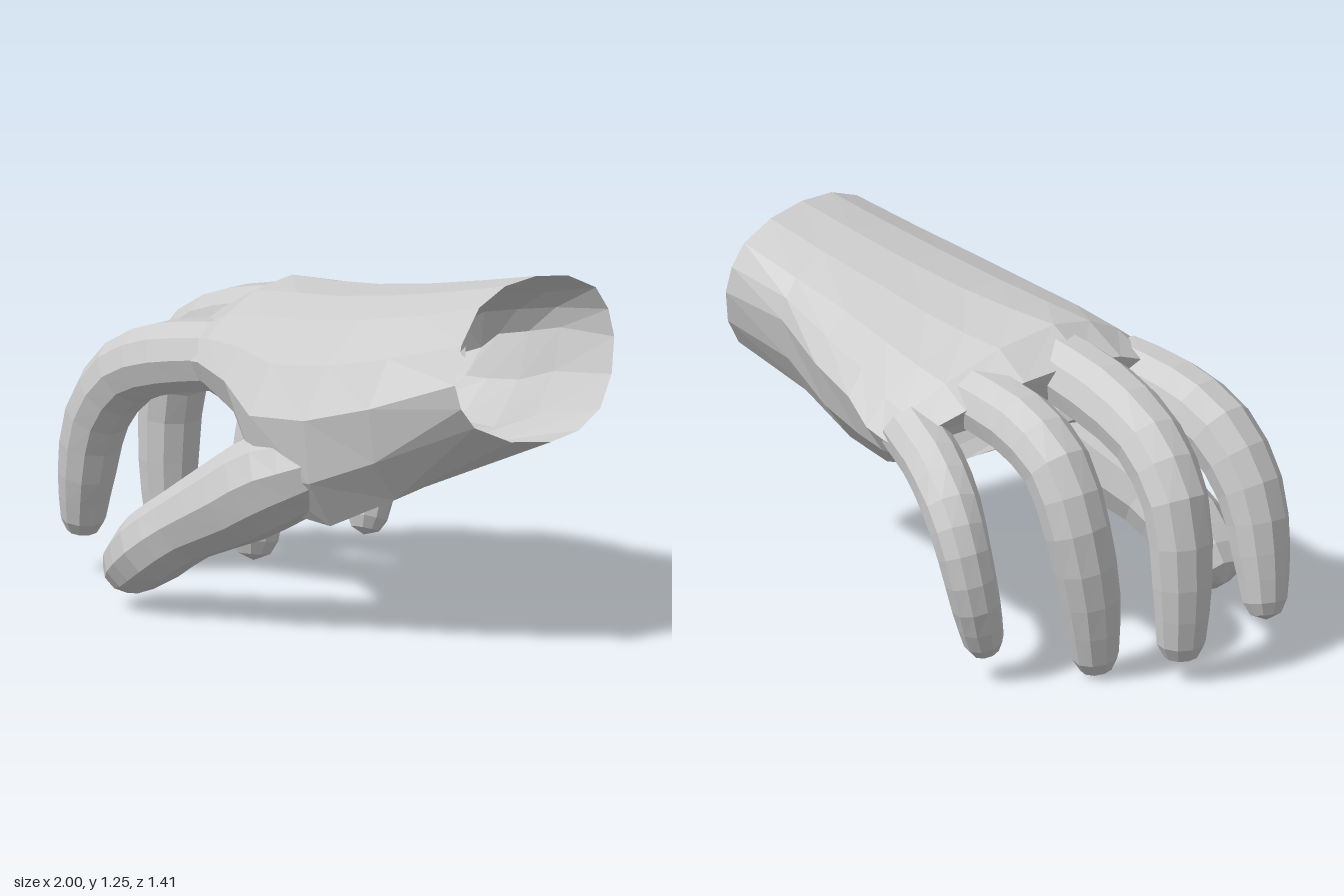
import * as THREE from 'three';

const material = new THREE.MeshStandardMaterial({
  color: 0xcccccc, flatShading: true, side: THREE.DoubleSide,
});

// Skin over a list of equal rings; the last ring is closed with a fan to endPoint.
function loft(name, rings, endPoint) {
  const n = rings[0].length;
  const pos = [];
  const index = [];
  rings.forEach((ring) => ring.forEach((p) => pos.push(p.x, p.y, p.z)));
  pos.push(endPoint.x, endPoint.y, endPoint.z);
  const tip = rings.length * n;
  for (let r = 0; r < rings.length; r++) {
    for (let i = 0; i < n; i++) {
      const a = r * n + i;
      const a2 = r * n + (i + 1) % n;
      if (r < rings.length - 1) index.push(a, a + n, a2, a2, a + n, a2 + n);
      else index.push(a, tip, a2);
    }
  }
  const geometry = new THREE.BufferGeometry();
  geometry.setAttribute('position', new THREE.Float32BufferAttribute(pos, 3));
  geometry.setIndex(index);
  geometry.computeVertexNormals();
  const mesh = new THREE.Mesh(geometry, material);
  mesh.name = name;
  return mesh;
}

// Finger along control points [x, y, z, radius], slightly wider than thick, with a rounded tip.
function finger(name, points, steps = 10, sides = 10) {
  const path = new THREE.CatmullRomCurve3(points.map((p) => new THREE.Vector3(p[0], p[1], p[2])));
  const radii = new THREE.CatmullRomCurve3(points.map((p, i) => new THREE.Vector3(p[3], i, 0)));
  const ringAt = (center, t, r) => {
    const s = new THREE.Vector3(0, 0, 1);
    s.addScaledVector(t, -s.dot(t)).normalize();
    const u = new THREE.Vector3().crossVectors(s, t);
    return Array.from({ length: sides }, (_, i) => {
      const a = (i / sides) * Math.PI * 2;
      return center.clone().addScaledVector(s, 1.08 * r * Math.cos(a)).addScaledVector(u, r * Math.sin(a));
    });
  };
  const rings = [];
  for (let k = 0; k <= steps; k++) {
    const f = k / steps;
    rings.push(ringAt(path.getPoint(f), path.getTangent(f), radii.getPoint(f).x));
  }
  const end = path.getPoint(1);
  const t = path.getTangent(1);
  const r = points[points.length - 1][3];
  rings.push(ringAt(end.clone().addScaledVector(t, r * 0.6), t, r * 0.7));
  return loft(name, rings, end.clone().addScaledVector(t, r * 0.9));
}

// Palm sections from wrist to knuckles: x, lean towards the wrist on the
// little-finger side, then [z, y] from the little-finger edge over the back
// of the hand to the thumb side and round underneath.
const palmSections = [
  [0.94, 0, [[-0.32, 1.0], [-0.27, 1.17], [0, 1.25], [0.29, 1.19], [0.46, 0.96], [0.4, 0.81], [0.05, 0.71], [-0.2, 0.78]]],
  [0.65, 0, [[-0.36, 0.98], [-0.29, 1.11], [0, 1.2], [0.32, 1.13], [0.57, 0.85], [0.44, 0.52], [0.13, 0.61], [-0.24, 0.7]]],
  [0.4, 0, [[-0.47, 0.91], [-0.32, 1.06], [0, 1.15], [0.34, 1.08], [0.62, 0.78], [0.49, 0.4], [0.15, 0.57], [-0.3, 0.61]]],
  [0.15, 0.1, [[-0.53, 0.86], [-0.36, 1.01], [0, 1.11], [0.34, 1.04], [0.62, 0.76], [0.47, 0.41], [0.14, 0.62], [-0.36, 0.59]]],
  [-0.06, 0.25, [[-0.57, 0.79], [-0.38, 0.97], [0, 1.09], [0.32, 1.02], [0.52, 0.83], [0.37, 0.63], [0.05, 0.68], [-0.4, 0.63]]],
  [-0.26, 0.45, [[-0.57, 0.76], [-0.39, 0.94], [0, 1.08], [0.3, 0.99], [0.44, 0.85], [0.33, 0.71], [0.02, 0.73], [-0.4, 0.65]]],
  [-0.42, 0.6, [[-0.56, 0.74], [-0.4, 0.87], [-0.02, 0.99], [0.28, 0.92], [0.4, 0.83], [0.29, 0.75], [0, 0.8], [-0.4, 0.7]]],
];

function palm() {
  const rings = palmSections.map(([x, lean, pts], k) => {
    const curve = new THREE.CatmullRomCurve3(pts.map(([z, y]) => {
      // the open wrist is cut at a slant
      const px = k === 0 ? 1 - (y - 0.71) * 0.22 : x + lean * Math.max(0, 0.2 - z) ** 2;
      return new THREE.Vector3(px, y, z);
    }), true);
    return Array.from({ length: 16 }, (_, i) => curve.getPoint(i / 16));
  });
  return loft('palm', rings, new THREE.Vector3(-0.36, 0.87, 0));
}

export function createModel() {
  const hand = new THREE.Group();
  hand.name = 'hand';
  hand.add(palm());

  hand.add(finger('thumb', [
    [0.36, 0.61, 0.46, 0.13], [0.18, 0.54, 0.485, 0.166], [0, 0.435, 0.52, 0.16],
    [-0.2, 0.325, 0.555, 0.132], [-0.34, 0.23, 0.565, 0.13], [-0.455, 0.147, 0.545, 0.108],
  ]));
  hand.add(finger('indexFinger', [
    [-0.28, 0.85, 0.295, 0.122], [-0.5, 0.81, 0.305, 0.127], [-0.7, 0.73, 0.31, 0.12],
    [-0.84, 0.56, 0.31, 0.11], [-0.9, 0.35, 0.3, 0.095], [-0.93, 0.19, 0.285, 0.073],
  ]));
  hand.add(finger('middleFinger', [
    [-0.22, 0.94, 0.01, 0.12], [-0.47, 0.885, -0.01, 0.125], [-0.71, 0.79, -0.05, 0.115],
    [-0.86, 0.62, -0.085, 0.108], [-0.895, 0.34, -0.09, 0.098], [-0.885, 0.13, -0.085, 0.08],
  ]));
  hand.add(finger('ringFinger', [
    [-0.12, 0.87, -0.265, 0.115], [-0.35, 0.83, -0.29, 0.118], [-0.54, 0.73, -0.32, 0.113],
    [-0.635, 0.53, -0.325, 0.108], [-0.66, 0.28, -0.285, 0.097], [-0.65, 0.07, -0.25, 0.076],
  ]));
  hand.add(finger('littleFinger', [
    [-0.01, 0.78, -0.46, 0.1], [-0.16, 0.71, -0.515, 0.1], [-0.3, 0.605, -0.58, 0.096],
    [-0.38, 0.46, -0.605, 0.088], [-0.41, 0.28, -0.58, 0.08], [-0.4, 0.14, -0.53, 0.066],
  ]));
  return hand;
}
